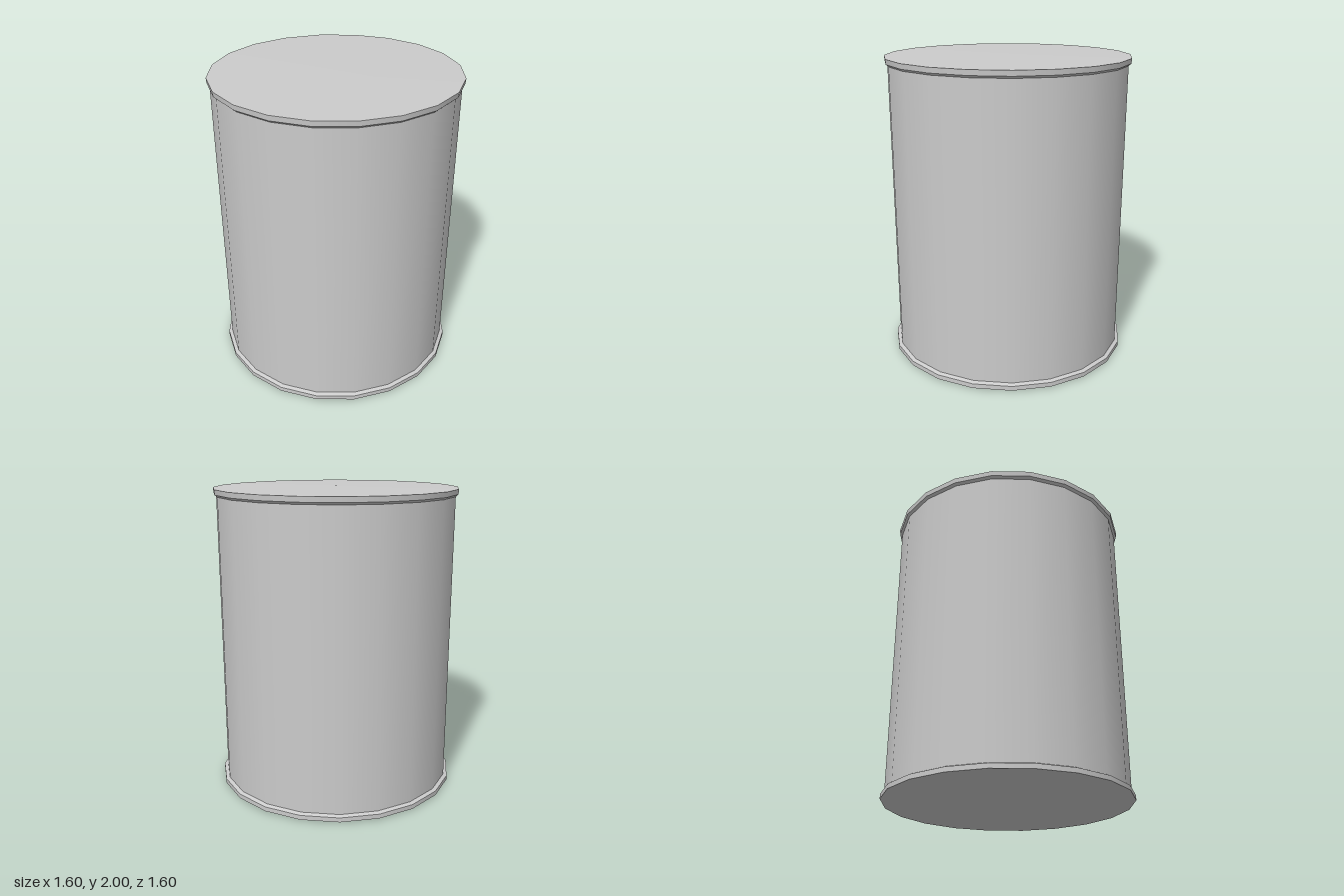
import * as THREE from 'three';

const SIDES = 20;
const material = new THREE.MeshStandardMaterial({ color: 0xcccccc });

// Open conical band between two heights; separate bands keep the edges crisp
function band(name, rBottom, yBottom, rTop, yTop) {
  const h = yTop - yBottom;
  const mesh = new THREE.Mesh(new THREE.CylinderGeometry(rTop, rBottom, h, SIDES, 1, true), material);
  mesh.position.y = yBottom + h / 2;
  mesh.name = name;
  return mesh;
}

// Very shallow cone that closes an end of the can
function endCap(name, y, rise) {
  const mesh = new THREE.Mesh(new THREE.ConeGeometry(0.8, rise, SIDES, 1, true), material);
  if (y < 1) mesh.rotation.x = Math.PI;
  mesh.position.y = y;
  mesh.name = name;
  return mesh;
}

export function createModel() {
  const can = new THREE.Group();
  can.name = 'can';

  // Slightly tapered wall
  can.add(band('wall', 0.776, 0.045, 0.781, 1.95));

  // Top lid with a bevelled lower edge
  const lid = new THREE.Group();
  lid.name = 'topLid';
  lid.add(
    band('topBevel', 0.781, 1.946, 0.797, 1.96),
    band('topRim', 0.797, 1.96, 0.8, 1.993),
    endCap('topCap', 1.9965, 0.007),
  );

  // Bottom rim with a bevelled upper edge
  const base = new THREE.Group();
  base.name = 'bottomRim';
  base.add(
    band('bottomBevel', 0.8, 0.037, 0.776, 0.047),
    band('bottomEdge', 0.8, 0.007, 0.8, 0.037),
    endCap('bottomCap', 0.0035, 0.007),
  );

  can.add(lid, base);
  return can;
}
